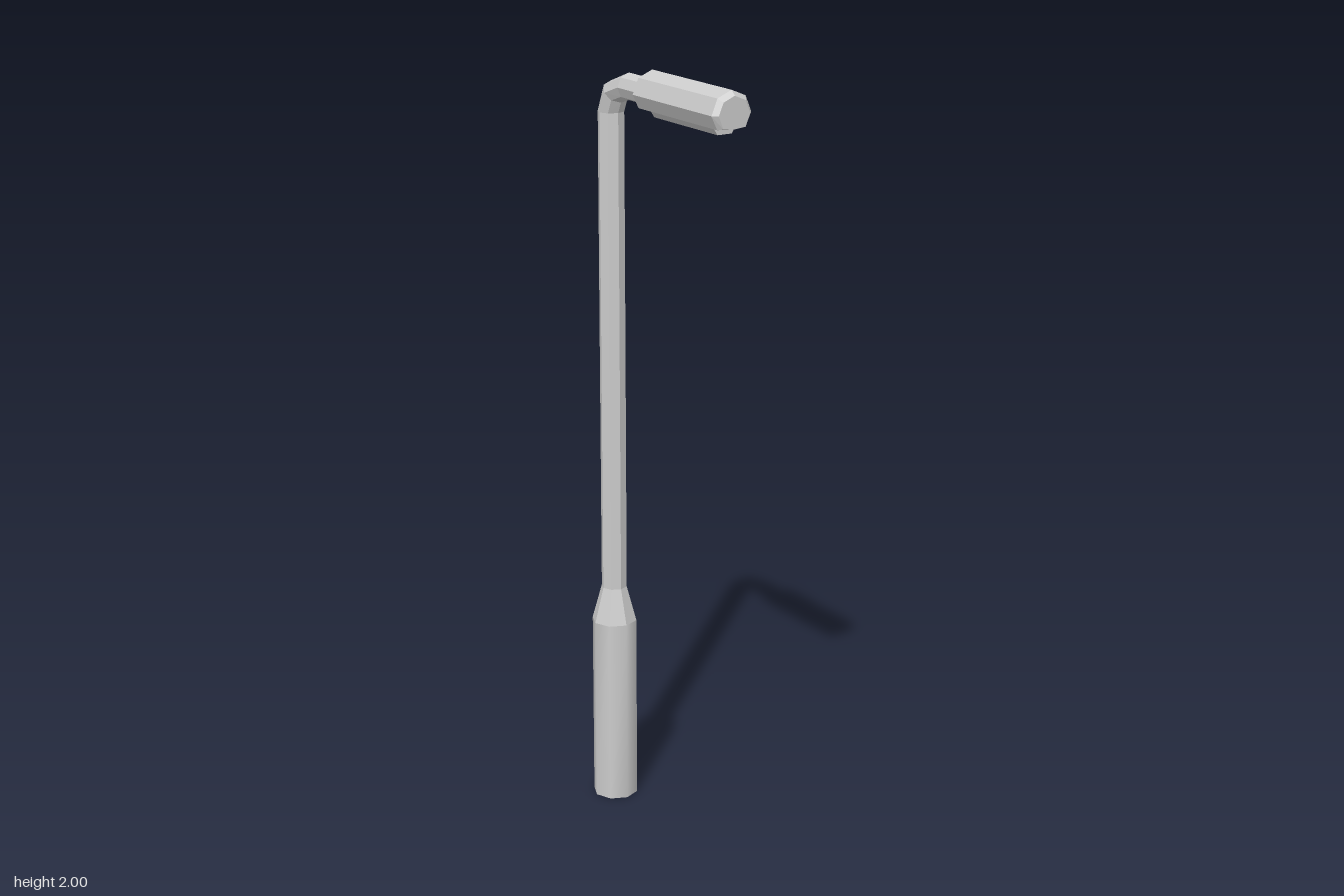
import * as THREE from 'three';
import { toCreasedNormals } from 'three/addons/utils/BufferGeometryUtils.js';

const SIDES = 8;
const POLE_Z = -0.24;
const HEAD_Y = 1.944;

// Closed tube through rings [y, z, tilt, radius]; tilt 0 runs up, PI/2 runs forward.
// Ring points lower than `floor` (relative to the ring's centre) are flattened.
function loft(rings, floor = -1) {
  const pos = [];
  const index = [];
  for (const [y, z, tilt, r] of rings) {
    for (let k = 0; k < SIDES; k++) {
      const a = (k / SIDES) * Math.PI * 2;
      const n = Math.max(Math.sin(a) * r, floor);
      pos.push(Math.cos(a) * r, y + n * Math.sin(tilt), z - n * Math.cos(tilt));
    }
  }
  const last = (rings.length - 1) * SIDES;
  for (let i = 0; i < last; i += SIDES) {
    for (let k = 0; k < SIDES; k++) {
      const a = i + k, b = i + ((k + 1) % SIDES);
      index.push(a, b, b + SIDES, a, b + SIDES, a + SIDES);
    }
  }
  for (let k = 1; k < SIDES - 1; k++) {
    index.push(0, k + 1, k, last, last + k, last + k + 1);
  }
  const geometry = new THREE.BufferGeometry();
  geometry.setAttribute('position', new THREE.Float32BufferAttribute(pos, 3));
  geometry.setIndex(index);
  geometry.computeVertexNormals();
  return geometry;
}

export function createModel() {
  const group = new THREE.Group();
  const smooth = new THREE.MeshStandardMaterial({ color: 0xcccccc });
  const flat = new THREE.MeshStandardMaterial({ color: 0xcccccc, flatShading: true });

  const add = (name, geometry, material) => {
    const mesh = new THREE.Mesh(geometry, material);
    mesh.name = name;
    group.add(mesh);
  };

  // Thick foot with soft sides
  const foot = loft([[0, POLE_Z, 0, 0.06], [0.505, POLE_Z, 0, 0.06]]);
  add('foot', toCreasedNormals(foot, Math.PI / 3), smooth);

  // Taper, pole, bend and horizontal arm
  const quarter = Math.PI / 2;
  add('poleAndArm', loft([
    [0.505, POLE_Z, 0, 0.06],
    [0.6, POLE_Z, 0, 0.034],
    [1.87, POLE_Z, 0, 0.034],
    [1.922, -0.217, quarter / 2, 0.034],
    [HEAD_Y, -0.155, quarter, 0.034],
    [HEAD_Y, -0.05, quarter, 0.034],
  ]), flat);

  // Lamp head with bevelled ends and a flat underside
  add('lampHead', loft([
    [HEAD_Y, -0.066, quarter, 0.038],
    [HEAD_Y, -0.05, quarter, 0.056],
    [HEAD_Y, 0.287, quarter, 0.056],
    [HEAD_Y, 0.3, quarter, 0.044],
  ], -0.034), flat);

  // Light panel under the head
  const section = new THREE.Shape();
  section.moveTo(-0.035, 1.915);
  section.lineTo(-0.02, 1.892);
  section.lineTo(0.02, 1.892);
  section.lineTo(0.035, 1.915);
  const panel = new THREE.ExtrudeGeometry(section, { depth: 0.27, bevelEnabled: false });
  panel.translate(0, 0, -0.01);
  add('lightPanel', panel, flat);

  return group;
}
